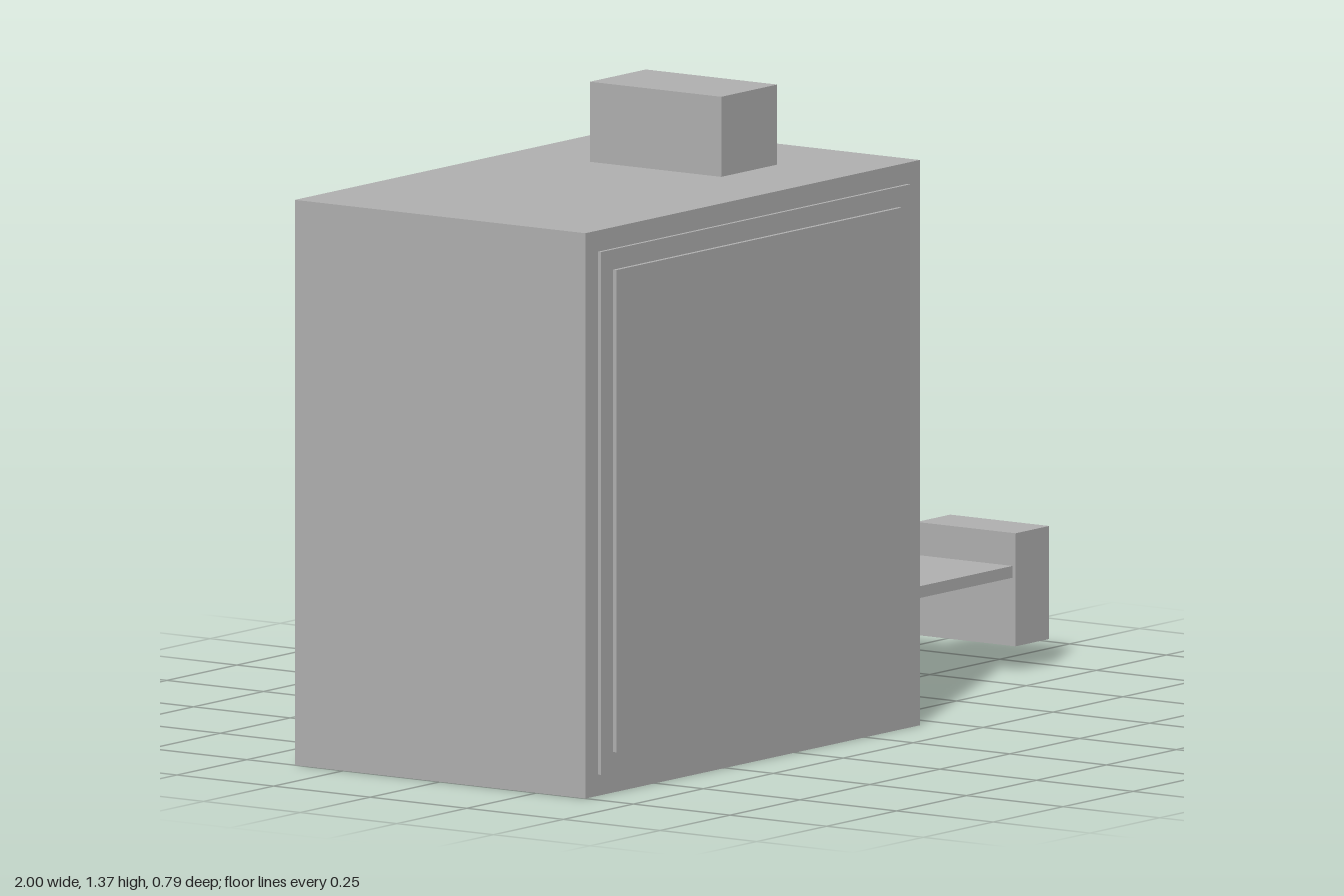
import * as THREE from 'three';

export function createModel() {
  const model = new THREE.Group();
  model.name = 'boxWithCrank';
  const grey = new THREE.MeshStandardMaterial({ color: 0xb2b2b2 });
  grey.name = 'grey';

  // Box given by its x range, y range and z range
  function box(name, [x0, x1], [y0, y1], [z0, z1]) {
    const mesh = new THREE.Mesh(new THREE.BoxGeometry(x1 - x0, y1 - y0, z1 - z0), grey);
    mesh.name = name;
    mesh.position.set((x0 + x1) / 2, (y0 + y1) / 2, (z0 + z1) / 2);
    model.add(mesh);
  }

  // Main case
  box('body', [-1, 0.195], [0, 1.2], [-0.376, 0.376]);

  // Stepped panels on front and back
  for (const [side, s] of [['front', 1], ['back', -1]]) {
    const depth = (a, b) => (s > 0 ? [a, b] : [-b, -a]);
    box(side + 'OuterPanel', [-0.955, 0.15], [0.045, 1.155], depth(0.376, 0.384));
    box(side + 'InnerPanel', [-0.912, 0.108], [0.088, 1.112], depth(0.384, 0.393));
  }

  // Button on top
  box('topButton', [-0.23, -0.03], [1.2, 1.37], [-0.17, 0.17]);

  // Side arm with its end block
  box('arm', [0.195, 0.88], [0.2, 0.225], [-0.12, 0.12]);
  box('armEnd', [0.88, 1], [0.055, 0.295], [-0.128, 0.128]);

  return model;
}
